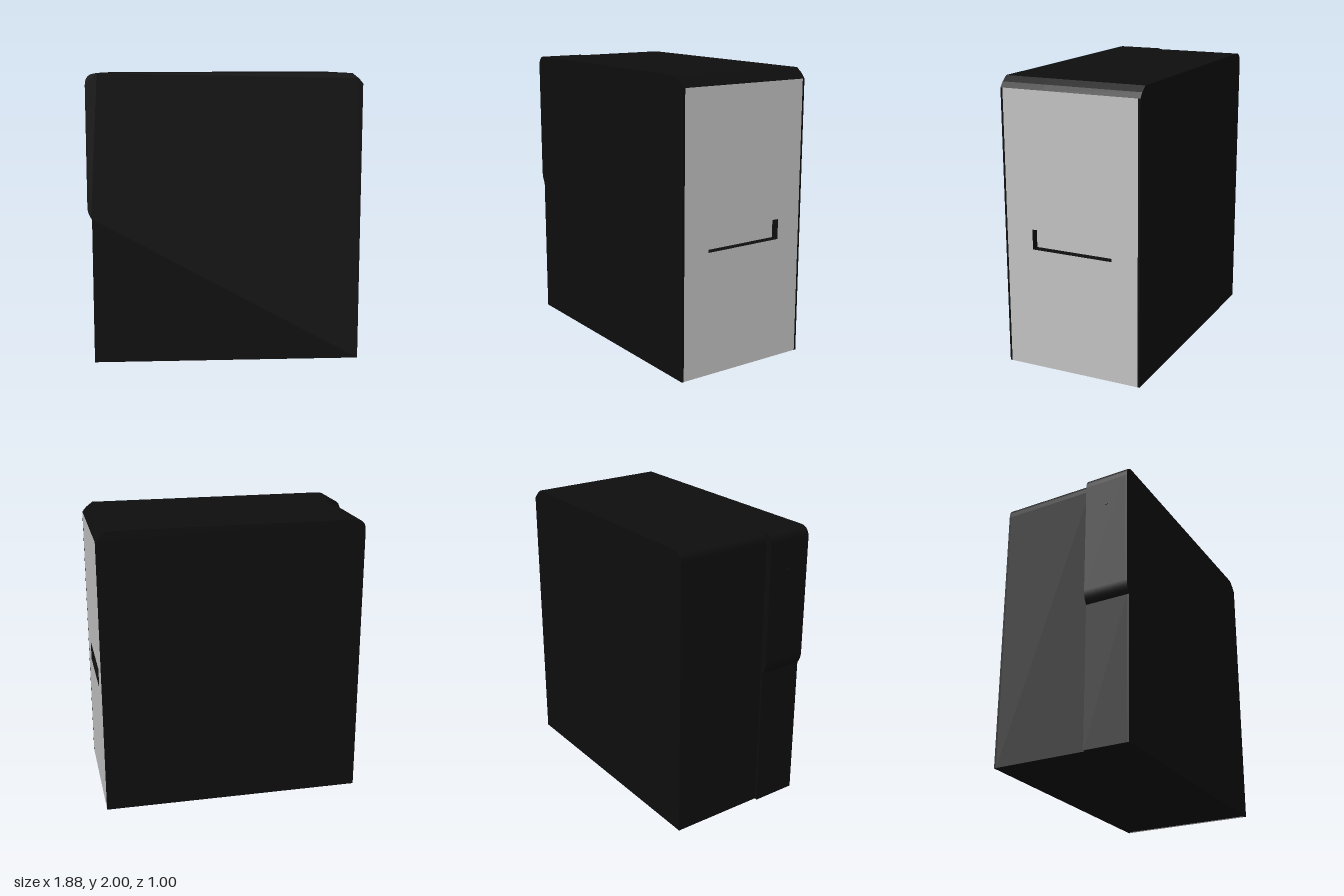
import * as THREE from 'three';

export function createModel() {
  const root = new THREE.Group();
  const black = new THREE.MeshStandardMaterial({ color: 0x0d0d0d });
  black.name = 'black casing';
  const grey = new THREE.MeshStandardMaterial({ color: 0xc0c0c0 });
  grey.name = 'light grey panel';

  const add = (name, geometry, material) => {
    const mesh = new THREE.Mesh(geometry, material);
    mesh.name = name;
    root.add(mesh);
    return mesh;
  };
  const box = (name, material, x0, x1, y0, y1, z0, z1) =>
    add(name, new THREE.BoxGeometry(x1 - x0, y1 - y0, z1 - z0), material)
      .position.set((x0 + x1) / 2, (y0 + y1) / 2, (z0 + z1) / 2);

  // Side profile of the casing; recessed leaves room for the end panel
  const PANEL_TOP = 1.93, END = 0.94, PANEL_BACK = 0.88, RIM = 0.485;
  function profile(column, recessed) {
    const s = new THREE.Shape();
    const left = column ? -0.94 : -0.89, r = 0.08;
    s.moveTo(column ? -0.91 : left, 0);
    const right = recessed ? PANEL_BACK : END;
    s.lineTo(right, 0);
    s.lineTo(right, PANEL_TOP);
    if (recessed) s.lineTo(END, PANEL_TOP);
    s.lineTo(0.91, 1.965);
    s.lineTo(0.865, 2);
    s.lineTo(left + r, 2);
    s.quadraticCurveTo(left, 2, left, 2 - r);
    if (column) {
      // Raised upper cover curving back into the lower column
      s.lineTo(left, 1.1);
      s.quadraticCurveTo(left, 1.05, -0.91, 1.01);
    }
    s.closePath();
    return s;
  }
  function slice(name, column, recessed, z0, z1) {
    const g = new THREE.ExtrudeGeometry(profile(column, recessed),
      { depth: z1 - z0, bevelEnabled: false, curveSegments: 8 });
    g.translate(0, 0, z0);
    add(name, g, black);
  }

  // Casing: thin side walls around a core, with the wider column at +z
  slice('backWall', false, false, -0.5, -RIM);
  slice('mainCasing', false, true, -RIM, 0.18);
  slice('sideColumn', true, true, 0.18, RIM);
  slice('frontWall', true, false, RIM, 0.5);

  // End panel with a slot cut through it, dark on the cut edges
  const panel = new THREE.Shape();
  panel.moveTo(-RIM, 0.012);
  panel.lineTo(RIM, 0.012);
  panel.lineTo(RIM, PANEL_TOP);
  panel.lineTo(-RIM, PANEL_TOP);
  panel.closePath();
  const slot = new THREE.Path();
  slot.moveTo(-0.29, 0.85);
  slot.lineTo(-0.29, 0.99);
  slot.lineTo(0.3, 0.99);
  slot.lineTo(0.3, 0.85);
  slot.closePath();
  panel.holes.push(slot);
  const panelGeometry = new THREE.ExtrudeGeometry(panel, { depth: END - PANEL_BACK, bevelEnabled: false });
  panelGeometry.rotateY(Math.PI / 2).translate(PANEL_BACK, 0, 0);
  add('endPanel', panelGeometry, [grey, black]);
  box('slotFloor', grey, PANEL_BACK - 0.002, PANEL_BACK + 0.003, 0.85, 0.99, -0.3, 0.29);

  // Lower edge of the panel
  box('panelLip', grey, 0.915, END, 0, 0.012, -RIM, RIM);
  box('panelLipBacking', black, PANEL_BACK, 0.915, 0, 0.012, -RIM, RIM);

  // Small button on the raised cover
  const button = add('button', new THREE.CylinderGeometry(0.01, 0.01, 0.01, 16), black);
  button.rotation.z = Math.PI / 2;
  button.position.set(-0.94, 1.735, 0.34);

  return root;
}
